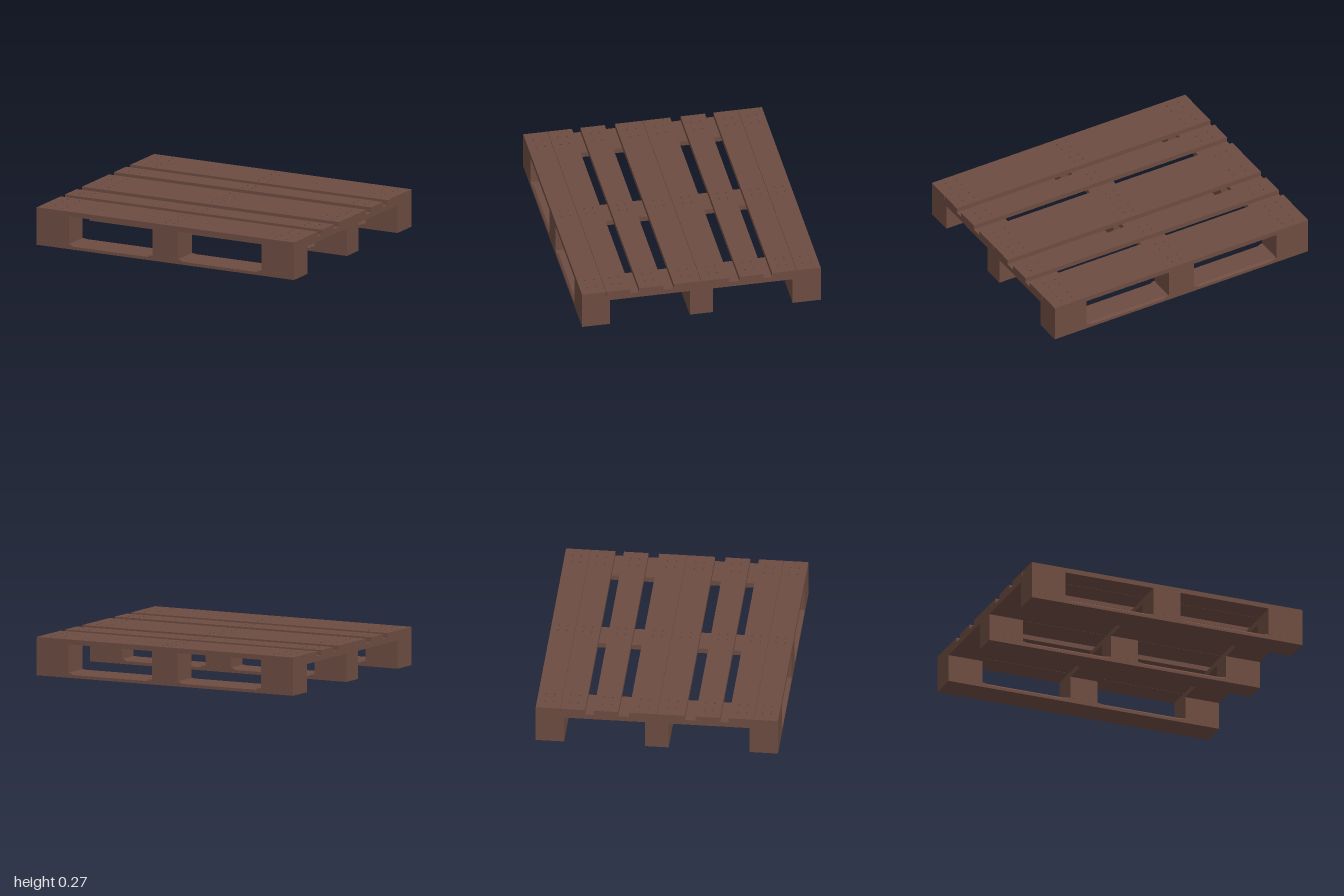
import * as THREE from 'three';

const wood = new THREE.MeshStandardMaterial({ color: 0x6d4c41 });
wood.name = 'brownWood';
const metal = new THREE.MeshStandardMaterial({ color: 0x4e4440 });
metal.name = 'nailMetal';

// Layer heights
const Y = { base: 0.003, skid: 0.038, block: 0.197, stringer: 0.233, deck: 0.267 };
const COLUMNS = [[-1, -0.75], [-0.1, 0.1], [0.75, 1]];
const ROWS = [[-0.83, -0.635], [-0.081, 0.081], [0.635, 0.83]];
const DECK = [[0.001, 0.192], [0.264, 0.433], [0.492, 0.661], [0.663, 0.83]];

function box(parent, name, [x0, x1], [y0, y1], [z0, z1]) {
  const mesh = new THREE.Mesh(new THREE.BoxGeometry(x1 - x0, y1 - y0, z1 - z0), wood);
  mesh.position.set((x0 + x1) / 2, (y0 + y1) / 2, (z0 + z1) / 2);
  mesh.name = name;
  parent.add(mesh);
}

// Bottom board whose upper edges are chamfered between the blocks
function skidGeometry([z0, z1]) {
  const stations = [[-1, 0], [-0.74, 0], [-0.71, 0.014], [-0.14, 0.014], [-0.11, 0],
    [0.11, 0], [0.14, 0.014], [0.71, 0.014], [0.74, 0], [1, 0]];
  const rings = stations.map(([x, cut]) => {
    const c = Math.max(cut, 0.0004);
    return [[Y.base, z0], [Y.base, z1], [Y.skid - c, z1], [Y.skid, z1 - c],
      [Y.skid, z0 + c], [Y.skid - c, z0]].map(([y, z]) => [x, y, z]);
  });
  const out = [];
  const tri = (a, b, c) => out.push(...a, ...b, ...c);
  for (let i = 0; i < rings.length - 1; i++) {
    for (let j = 0; j < 6; j++) {
      const k = (j + 1) % 6, a = rings[i], b = rings[i + 1];
      tri(a[j], b[j], b[k]);
      tri(a[j], b[k], a[k]);
    }
  }
  const first = rings[0], last = rings[rings.length - 1];
  for (let j = 1; j < 5; j++) {
    tri(first[0], first[j], first[j + 1]);
    tri(last[0], last[j + 1], last[j]);
  }
  const geometry = new THREE.BufferGeometry();
  geometry.setAttribute('position', new THREE.Float32BufferAttribute(out, 3));
  geometry.computeVertexNormals();
  return geometry;
}

const nailGeometry = new THREE.CylinderGeometry(0.005, 0.006, 0.006, 8);
function nail(parent, x, y, z, flip) {
  const mesh = new THREE.Mesh(nailGeometry, metal);
  mesh.position.set(x, y, z);
  if (flip) mesh.rotation.x = Math.PI;
  mesh.name = 'nail';
  parent.add(mesh);
}

export function createModel() {
  const pallet = new THREE.Group();
  pallet.name = 'pallet';
  const nails = new THREE.Group();
  nails.name = 'nails';
  pallet.add(nails);

  // Bottom boards and the nine blocks
  for (const row of ROWS) {
    const skid = new THREE.Mesh(skidGeometry(row), wood);
    skid.name = 'bottomBoard';
    pallet.add(skid);
    for (const column of COLUMNS) box(pallet, 'block', column, [Y.skid, Y.block], row);
    const mid = (row[0] + row[1]) / 2;
    for (const x of [-0.91, -0.83, -0.03, 0.03, 0.83, 0.91])
      for (const d of [-0.03, 0.03]) nail(nails, x, 0.003, mid + d, true);
  }

  // Cross boards carrying the deck
  for (const column of COLUMNS)
    box(pallet, 'crossBoard', column, [Y.block, Y.stringer], [-0.83, 0.83]);

  // Deck boards, mirrored front to back
  for (const side of [-1, 1]) {
    for (const [a, b] of DECK) {
      const span = side > 0 ? [a, b] : [-b, -a];
      box(pallet, 'deckBoard', [-1, 1], [Y.stringer, Y.deck], span);
      const mid = (span[0] + span[1]) / 2;
      for (const x of [-0.915, -0.825, -0.025, 0.04, 0.835, 0.92])
        for (const d of [-0.03, 0.03]) nail(nails, x, Y.deck, mid + d, false);
    }
  }
  return pallet;
}
